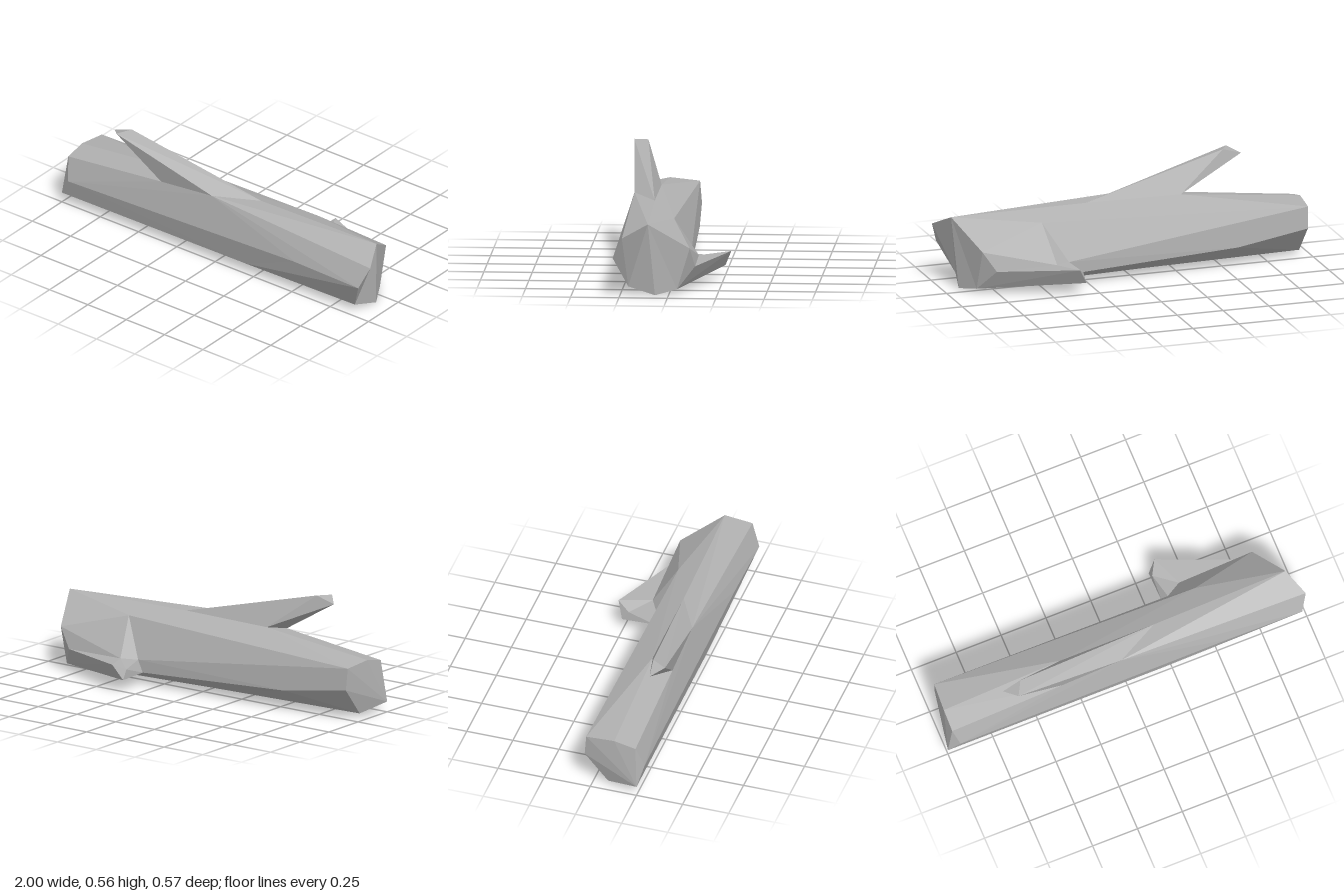
import * as THREE from 'three';

const V = (x, y, z) => new THREE.Vector3(x, y, z);

// Skin a list of equal-length rings with flat facets. Rings run counter-clockwise
// when seen from the last ring; repeated points simply merge facets.
// caps: extra triangles, each made of three points.
function loft(name, rings, material, caps) {
  const positions = [];
  const tri = (a, b, c) => {
    const area = b.clone().sub(a).cross(c.clone().sub(a)).length();
    if (area > 1e-6) for (const p of [a, b, c]) positions.push(p.x, p.y, p.z);
  };
  for (let i = 0; i < rings.length - 1; i++) {
    const n = rings[i].length;
    for (let j = 0; j < n; j++) {
      const k = (j + 1) % n;
      const p = rings[i][j], q = rings[i][k], r = rings[i + 1][k], s = rings[i + 1][j];
      // fold each quad along its convex diagonal
      const normal = q.clone().sub(p).cross(r.clone().sub(p));
      if (normal.dot(s.clone().sub(p)) <= 0) { tri(p, q, r); tri(p, r, s); }
      else { tri(p, q, s); tri(q, r, s); }
    }
  }
  caps.forEach((t) => tri(...t));
  const geometry = new THREE.BufferGeometry();
  geometry.setAttribute('position', new THREE.Float32BufferAttribute(positions, 3));
  geometry.computeVertexNormals();
  const mesh = new THREE.Mesh(geometry, material);
  mesh.name = name;
  return mesh;
}

// Fan of triangles closing the last ring
const tipCap = (ring) => ring.slice(1, -1).map((p, i) => [ring[0], p, ring[i + 2]]);

export function createModel() {
  const group = new THREE.Group();
  group.name = 'log';
  const wood = new THREE.MeshStandardMaterial({ color: 0xb0b0b0, flatShading: true });
  wood.name = 'greyWood';

  // Points shared by neighbouring rings
  const frontEdge = V(-0.94, 0.155, 0.275), lowFront = V(-1, 0.055, 0.25);
  const backTop = V(-0.96, 0.285, -0.035), belly = V(-0.09, 0.015, 0.05);

  // Roots of the two branch stubs
  const upper = {
    front: V(-0.03, 0.378, 0.24), back: V(0.2, 0.375, 0.12),
    crotchBack: V(-0.32, 0.37, 0.12), crotchFront: V(-0.36, 0.345, 0.24),
  };
  const rear = {
    top: V(0.77, 0.13, -0.128), bottom: V(0.85, 0.022, -0.04),
    crotchLow: V(0.33, 0.065, -0.08), crotchHigh: V(0.36, 0.129, -0.08),
    notch: V(0.44, 0.133, -0.125),
  };

  // Trunk rings: top, upper front, front, lower front, bottom, lower back, back, upper back
  const start = [V(-0.97, 0.3, 0.12), V(-0.97, 0.275, 0.235), frontEdge, lowFront,
    V(-0.95, 0.02, 0.08), V(-0.955, 0.17, -0.045), backTop, backTop];
  const nearCrotch = [upper.crotchBack, upper.crotchFront, frontEdge, lowFront,
    belly, V(-0.57, 0.11, -0.06), backTop, backTop];
  const middle = [upper.back, upper.front, V(0.55, 0.21, 0.285), V(0.2, 0.06, 0.25),
    belly, rear.crotchLow, rear.crotchHigh, V(0.48, 0.33, 0)];
  const middleNotch = middle.with(6, rear.notch);
  const end = [V(0.94, 0.375, 0.105), V(1, 0.31, 0.235), V(0.96, 0.2, 0.285), V(0.88, 0.04, 0.21),
    V(0.91, 0, 0.07), rear.bottom, rear.top, V(0.84, 0.235, -0.105)];

  // Cut faces at both ends
  const startCap = start.map((p, i) => [lowFront, start[(i + 1) % 8], p]);
  const endCap = [[0, 1, 3], [1, 2, 3], [0, 3, 4], [0, 4, 5], [0, 5, 7], [5, 6, 7]]
    .map((t) => t.map((i) => end[i]));
  group.add(loft('trunk', [start, nearCrotch, middle, middleNotch, end], wood,
    [...startCap, ...endCap]));

  // Upper branch stub
  const upperEnd = V(-0.68, 0.53, 0.218);
  const upperTip = [V(-0.62, 0.558, 0.282), V(-0.578, 0.563, 0.206), upperEnd, upperEnd];
  group.add(loft('upperBranch',
    [[upper.front, upper.back, upper.crotchBack, upper.crotchFront], upperTip],
    wood, tipCap(upperTip)));

  // Rear branch stub
  const rearLow = V(0.325, 0.063, -0.255), rearInner = V(0.33, 0.112, -0.22);
  const rearTip = [V(0.37, 0.145, -0.288), rearLow, rearLow, rearInner, rearInner];
  group.add(loft('rearBranch',
    [[rear.top, rear.bottom, rear.crotchLow, rear.crotchHigh, rear.notch], rearTip],
    wood, tipCap(rearTip)));

  return group;
}
